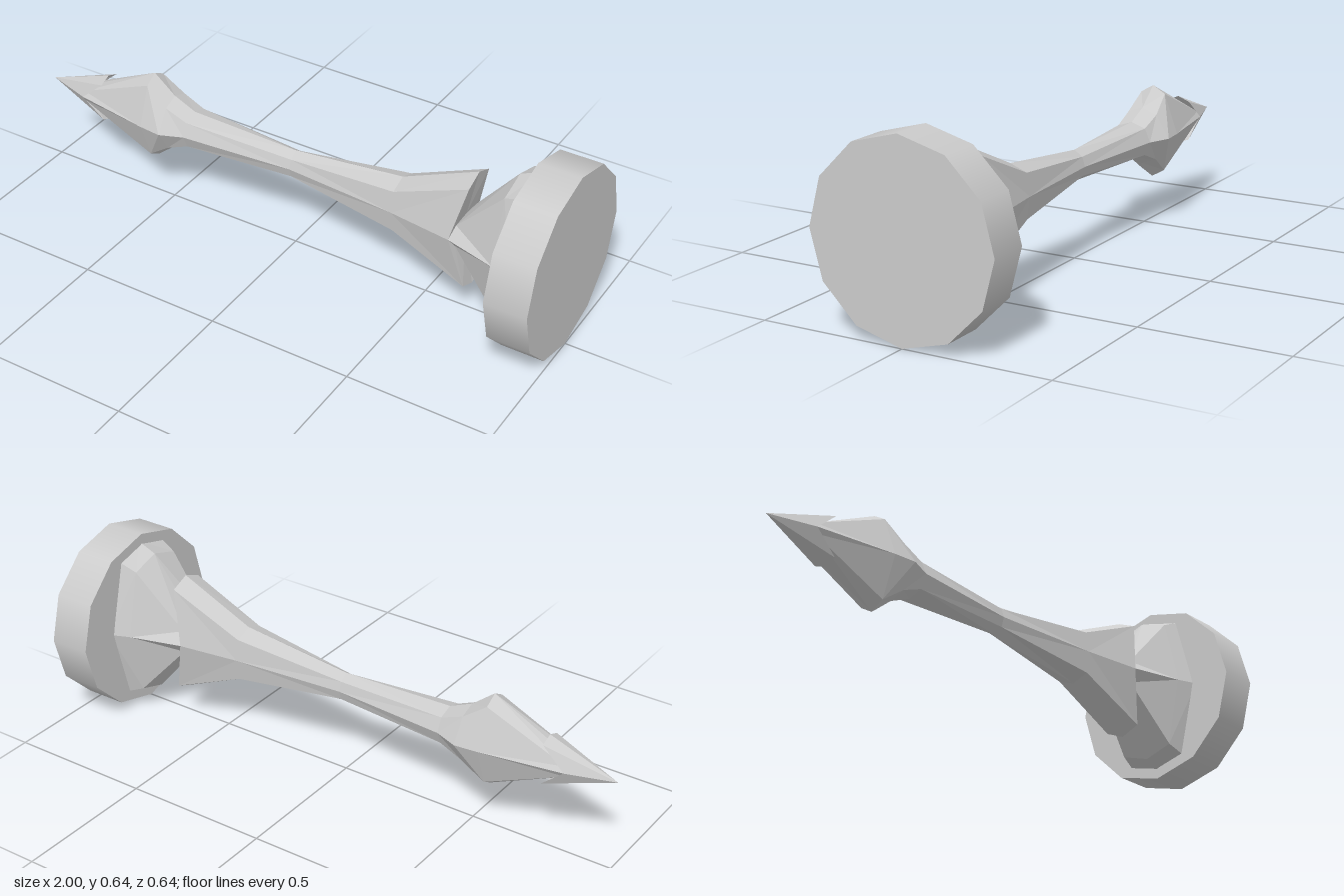
import * as THREE from 'three';

const AXIS_Y = 0.3185;
const material = new THREE.MeshStandardMaterial({ color: 0xcccccc, flatShading: true });

// Stations along x: [crest x, crest height, shoulder height, shoulder z, side ridge x, side ridge z]
const STATIONS = [
  [-1.0, 0, 0, 0, -1.0, 0],
  [-0.76, 0.087, 0.07, 0.043, -1.0, 0], // point barb
  [-0.84, 0.025, 0.018, 0.038, -0.84, 0.05], // notch behind the barb
  [-0.56, 0.165, 0.138, 0.046, -0.56, 0.096],
  [-0.48, 0.1, 0.08, 0.055, -0.48, 0.104],
  [-0.4, 0.064, 0.047, 0.052, -0.4, 0.072],
  [0, 0.053, 0.033, 0.03, 0, 0.04],
  [0.4, 0.098, 0.075, 0.06, 0.4, 0.071],
  [0.665, 0.216, 0.188, 0.066, 0.4, 0.071], // rear barb
  [0.63, 0.045, 0.04, 0.068, 0.62, 0.1], // notch behind the barb
  [0.8, 0.26, 0.228, 0.1, 0.8, 0.15],
  [0.87, 0.288, 0.258, 0.113, 0.87, 0.178],
];

// Eight-sided ring: crest, shoulder and side ridge, mirrored in y and z
function ring([x, h, s, t, rx, w]) {
  return [
    [x, h, 0], [x, s, t], [rx, 0, w], [x, -s, t],
    [x, -h, 0], [x, -s, -t], [rx, 0, -w], [x, s, -t],
  ].map((p) => new THREE.Vector3(...p));
}

// Skin neighbouring rings, dropping triangles that collapse
function loft(rings) {
  const points = [];
  const tri = (a, b, c) => {
    if (new THREE.Triangle(a, b, c).getArea() > 1e-8) points.push(a, b, c);
  };
  for (let i = 0; i < rings.length - 1; i++) {
    for (let j = 0; j < 8; j++) {
      const k = (j + 1) % 8;
      const a = rings[i][j], b = rings[i][k];
      const c = rings[i + 1][j], d = rings[i + 1][k];
      // Diagonals start on the shoulders so that they mirror
      if (j % 2) {
        tri(a, b, d);
        tri(a, d, c);
      } else {
        tri(a, b, c);
        tri(b, d, c);
      }
    }
  }
  const geometry = new THREE.BufferGeometry().setFromPoints(points);
  geometry.computeVertexNormals();
  return geometry;
}

export function createModel() {
  const group = new THREE.Group();
  group.name = 'barbedSpike';

  // Shaft with barbed point, rear barbs and flared foot
  const shaft = new THREE.Mesh(loft(STATIONS.map(ring)), material);
  shaft.name = 'barbedShaft';
  shaft.position.y = AXIS_Y;
  group.add(shaft);

  // Twelve-sided end disc
  const discMaterial = new THREE.MeshStandardMaterial({ color: 0xcccccc });
  const disc = new THREE.Mesh(new THREE.CylinderGeometry(AXIS_Y, AXIS_Y, 0.145, 12), discMaterial);
  disc.name = 'endDisc';
  disc.rotation.z = -Math.PI / 2;
  disc.position.set(0.9275, AXIS_Y, 0);
  group.add(disc);

  return group;
}
